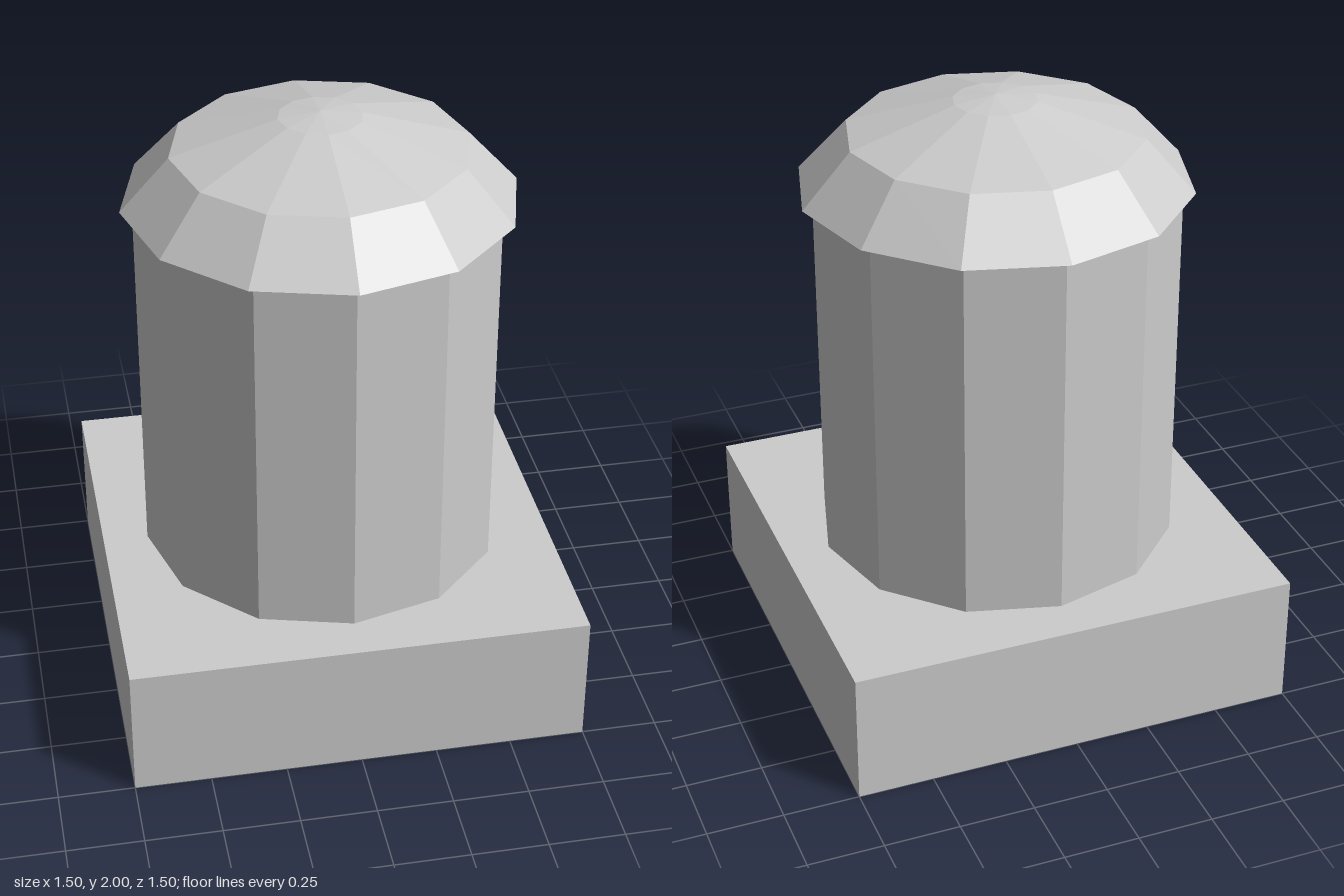
import * as THREE from 'three';

const SIDES = 12;

export function createModel() {
  const model = new THREE.Group();
  const stone = new THREE.MeshStandardMaterial({ color: 0xcccccc, flatShading: true });
  stone.name = 'light grey stone';

  const add = (name, geometry, y) => {
    const mesh = new THREE.Mesh(geometry, stone);
    mesh.name = name;
    mesh.position.y = y;
    model.add(mesh);
  };

  // Square plinth
  add('base', new THREE.BoxGeometry(1.5, 0.45, 1.5), 0.225);

  // Twelve-sided shaft, running up to the underside of the cap
  add('column', new THREE.CylinderGeometry(0.6, 0.6, 1.255, SIDES), 0.45 + 1.255 / 2);

  // Faceted domed cap with a closed, overhanging underside
  const profile = [[0, 1.705], [0.64, 1.705], [0.48, 1.88], [0.135, 1.983], [0, 2]]
    .map(([r, y]) => new THREE.Vector2(r, y));
  add('cap', new THREE.LatheGeometry(profile, SIDES), 0);

  return model;
}
